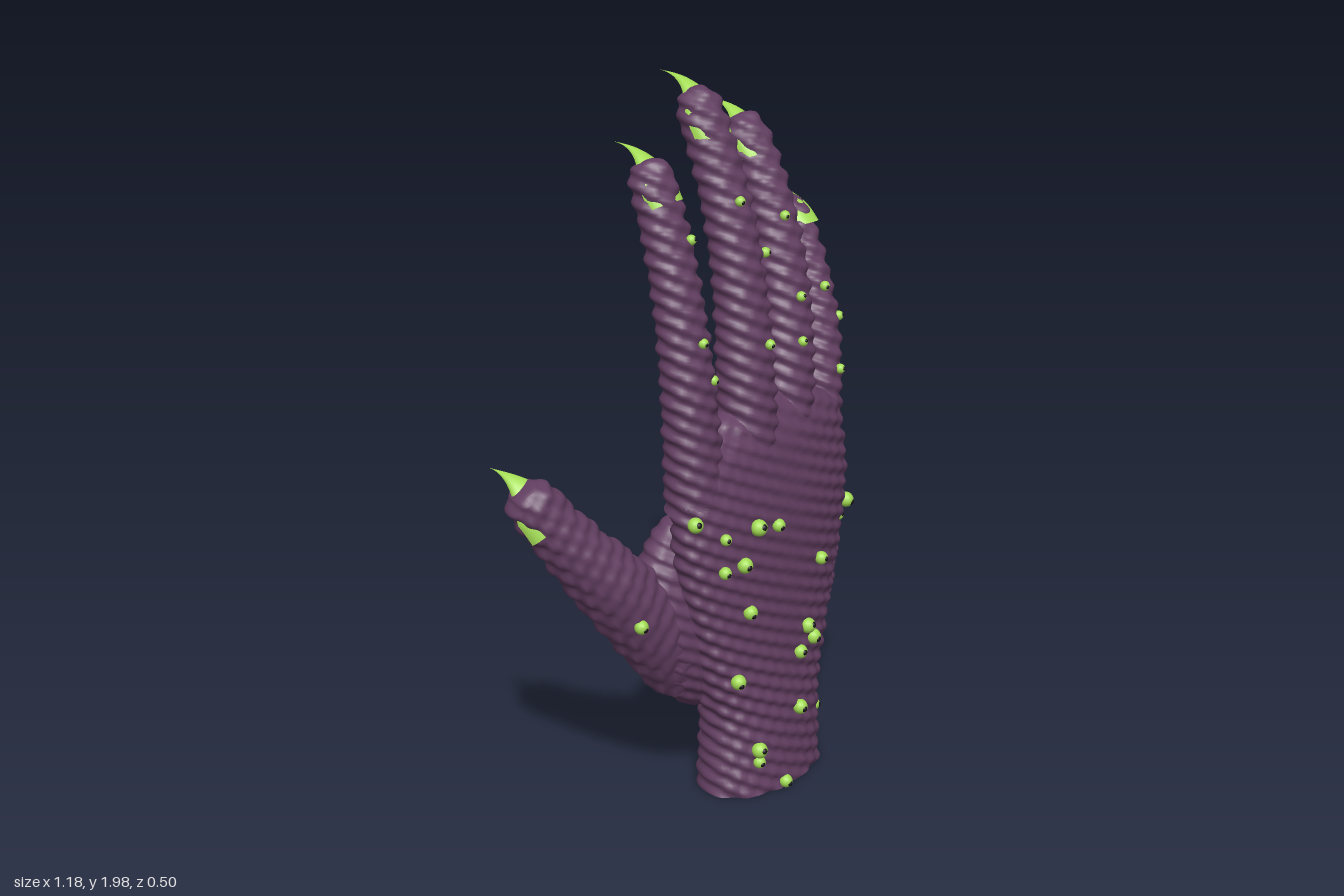
import * as THREE from 'three';

const skin = new THREE.MeshStandardMaterial({ color: 0x633f62 });
skin.name = 'purpleSkin';
const green = new THREE.MeshStandardMaterial({ color: 0xa3dc55, side: THREE.DoubleSide });
green.name = 'clawGreen';
const black = new THREE.MeshStandardMaterial({ color: 0x141414 });
black.name = 'pupilBlack';

const { lerp } = THREE.MathUtils;

// Diagonal wrinkles running over all of the skin
const ripple = (p) =>
  0.0045 * Math.sin(140 * p.y + 62 * p.x + 30 * p.z) +
  0.0025 * Math.sin(95 * p.x - 75 * p.y + 60 * p.z);

// Rounds the ends of a loft; c0 and c1 are the rounded fractions of its length
function endFactor(t, c0, c1, power) {
  let d = 0;
  if (t < c0) d = 1 - t / c0;
  if (t > 1 - c1) d = (t - 1 + c1) / c1;
  return Math.pow(Math.max(0, 1 - d * d), power);
}

// Grid of vertices, given as rows of Vector3, joined into a surface
function gridGeometry(rows, closed) {
  const n = rows[0].length;
  const index = [];
  for (let i = 0; i < rows.length - 1; i++) {
    for (let j = 0; j < (closed ? n : n - 1); j++) {
      const a = i * n + j, b = i * n + ((j + 1) % n);
      index.push(a, b, a + n, b, b + n, a + n);
    }
  }
  const g = new THREE.BufferGeometry().setFromPoints(rows.flat());
  g.setIndex(index);
  g.computeVertexNormals();
  return g;
}

// Wrinkled body along a rule at(t) that returns a centre, half width and half depth
function loft(name, at, { rings, sides, upright = false, c0 = 0, c1, power = 0.5, square = 1 }) {
  const ts = Array.from({ length: rings + 1 }, (_, i) => i / rings);
  for (let i = 1; i < 6; i++) ts.push(1 - (c1 * i * i) / 144); // extra rings at the rounded end
  ts.sort((a, b) => a - b);
  const list = ts.map((t) => [t, endFactor(t, c0, c1, power)]);
  if (c0 === 0) list.unshift([0, 0], [0, 1]); // flat start with a sharp rim
  const rows = list.map(([t, f]) => {
    const { c, w, d } = at(t);
    const dir = upright
      ? new THREE.Vector3(0, 1, 0)
      : at(t + 0.001).c.sub(at(Math.max(0, t - 0.001)).c).normalize();
    const u = new THREE.Vector3(1, 0, 0).addScaledVector(dir, -dir.x).normalize();
    const v = dir.clone().cross(u);
    return Array.from({ length: sides }, (_, j) => {
      const a = (j / sides) * Math.PI * 2;
      const cs = Math.sign(Math.cos(a)) * Math.pow(Math.abs(Math.cos(a)), square);
      const sn = Math.sign(Math.sin(a)) * Math.pow(Math.abs(Math.sin(a)), square);
      const p = c.clone().addScaledVector(u, cs * w * f).addScaledVector(v, sn * d * f);
      const lift = ripple(p) * Math.min(1, f * 1.5);
      return p.addScaledVector(u, cs * lift).addScaledVector(v, sn * lift);
    });
  });
  const mesh = new THREE.Mesh(gridGeometry(rows, true), skin);
  mesh.name = name;
  return mesh;
}

// Palm and wrist: half width and half depth by height
function makePalm() {
  const profile = new THREE.CatmullRomCurve3([
    [0.015, 0.208, 0.128], [0.25, 0.205, 0.122], [0.36, 0.235, 0.117], [0.52, 0.28, 0.115],
    [0.7, 0.325, 0.115], [0.86, 0.345, 0.112], [1, 0.325, 0.098], [1.16, 0.28, 0.075],
  ].map((k) => new THREE.Vector3(...k)));
  return loft('palm', (t) => {
    const p = profile.getPoint(t);
    return { c: new THREE.Vector3(0.15, p.x, 0.094), w: p.y, d: p.z };
  }, { rings: 170, sides: 80, upright: true, c1: 0.13, square: 0.88 });
}

// Fleshy oval pad between two points
function makePad(name, from, to, w, d) {
  const a = new THREE.Vector3(...from), b = new THREE.Vector3(...to);
  return loft(name, (t) => ({ c: a.clone().lerp(b, t), w, d }),
    { rings: 90, sides: 48, upright: true, c0: 0.5, c1: 0.5 });
}

// Finger that bends backwards and thins towards its tip
function digitRule({ base, tip, r0, r1, bow, bend }) {
  return (s) => {
    const r = r1 + (r0 - r1) * Math.pow(Math.max(0, 1 - s), 1.5);
    const c = new THREE.Vector3(
      lerp(base[0], tip[0], s) + bow * 4 * s * (1 - s),
      lerp(base[1], tip[1], s),
      lerp(base[2], tip[2], Math.pow(s, bend)));
    return { c, w: r, d: Math.min(r, 0.1) };
  };
}

// Curved nail that narrows to a claw; its origin is the claw's point
function clawGeometry() {
  const rows = [];
  for (let i = 0; i <= 16; i++) {
    const q = 1 - i / 16;
    const w = 0.063 * Math.min(1, Math.pow(q / 0.8, 1.7)) + 0.0004;
    const slope = new THREE.Vector2(-0.215, 0.405 * q * q).normalize();
    rows.push(Array.from({ length: 13 }, (_, j) => {
      const a = (j / 12 - 0.5) * Math.PI;
      const drop = 0.7 * w * (1 - Math.cos(a));
      return new THREE.Vector3(w * Math.sin(a), -0.135 * q ** 3 + drop * slope.x, 0.215 * q - drop * slope.y);
    }));
  }
  return gridGeometry(rows, false);
}

const digits = [
  { name: 'indexFinger', base: [-0.11, 0.9, 0.08], tip: [-0.135, 1.825, -0.065], r0: 0.083, r1: 0.06, bow: -0.015, bend: 2.9, claw: [0.95, 0.9, 0.95], tilt: 0 },
  { name: 'middleFinger', base: [0.075, 0.95, 0.1], tip: [0.08, 1.968, -0.092], r0: 0.09, r1: 0.061, bow: 0, bend: 2.9, claw: [1, 1, 1], tilt: 0 },
  { name: 'ringFinger', base: [0.23, 0.92, 0.095], tip: [0.317, 1.843, -0.127], r0: 0.085, r1: 0.06, bow: 0.012, bend: 2.9, claw: [0.95, 0.85, 1], tilt: -0.06 },
  { name: 'littleFinger', base: [0.39, 0.85, 0.07], tip: [0.545, 1.562, -0.142], r0: 0.077, r1: 0.05, bow: 0.012, bend: 2.6, claw: [0.78, 0.62, 1], tilt: -0.05 },
  { name: 'thumb', base: [-0.05, 0.44, -0.01], tip: [-0.545, 1.03, -0.145], r0: 0.155, r1: 0.068, bow: -0.04, bend: 1.7, claw: [1.1, 1, 0.9], tilt: 0.33 },
];

// Main warts on the back of the hand, and a few on the palm side: [x, y]
const frontWarts = [
  [-0.11, 0.83], [0, 0.83], [0.08, 0.82], [-0.11, 0.735], [-0.045, 0.74], [-0.02, 0.595], [0.27, 0.655],
  [0.215, 0.465], [0.25, 0.425], [0.185, 0.4], [-0.045, 0.39], [0.175, 0.24], [0.02, 0.155], [0.025, 0.12],
  [0.11, 0.035], [0.35, 0.145], [0.46, 0.755], [0.47, 0.69], [-0.18, 0.88], [-0.31, 0.615],
];
const backWarts = [[0.13, 0.9], [0.17, 0.68], [0.48, 0.78], [0.46, 0.47]];

export function createModel() {
  const hand = new THREE.Group();
  hand.name = 'clawedHand';
  const body = [
    makePalm(),
    makePad('thumbPad', [0.02, 0.25, 0.01], [-0.06, 0.85, -0.005], 0.22, 0.115),
    makePad('outerPad', [0.39, 0.25, 0.02], [0.45, 0.9, 0.04], 0.103, 0.1),
  ];

  // Fingers and thumb, each with its claw
  const claw = clawGeometry();
  for (const digit of digits) {
    body.push(loft(digit.name, digitRule(digit), { rings: 130, sides: 26, c1: 0.07, power: 0.35 }));
    const nail = new THREE.Mesh(claw, green);
    nail.name = digit.name + 'Claw';
    nail.position.set(...digit.tip).add(new THREE.Vector3(0, 0.03, -0.105));
    nail.scale.set(...digit.claw);
    nail.rotation.z = digit.tilt;
    hand.add(nail);
  }
  hand.add(...body);

  // Eye-like warts, dropped onto the skin from the front or back
  let seed = 7;
  const random = () => (seed = (seed * 16807) % 2147483647) / 2147483647;
  const ball = new THREE.SphereGeometry(1, 14, 10);
  const ray = new THREE.Raycaster();
  const addWart = (x, y, r, side) => {
    ray.set(new THREE.Vector3(x, y, side * 2), new THREE.Vector3(0, 0, -side));
    const hit = ray.intersectObjects(body, false)[0];
    if (!hit) return;
    const n = hit.face.normal;
    const wart = new THREE.Mesh(ball, green);
    wart.name = 'wart';
    wart.scale.setScalar(r);
    wart.position.copy(hit.point).addScaledVector(n, r * 0.3);
    const pupil = new THREE.Mesh(ball, black);
    pupil.name = 'wartPupil';
    pupil.scale.setScalar(r * 0.45);
    const look = n.clone().add(new THREE.Vector3(0, 0, side)).normalize();
    pupil.position.copy(wart.position).addScaledVector(look, r * 0.68);
    hand.add(wart, pupil);
  };
  for (const [x, y] of frontWarts) addWart(x, y, 0.016 + 0.008 * random(), 1);
  for (const [x, y] of backWarts) addWart(x, y, 0.014, -1);
  for (const digit of digits.slice(0, 4)) {
    for (let i = 0; i < 3; i++) {
      const { c, w } = digitRule(digit)(0.3 + 0.2 * i + 0.1 * random());
      addWart(c.x + w * (random() * 1.6 - 0.8), c.y, 0.014, 1);
    }
  }
  return hand;
}
